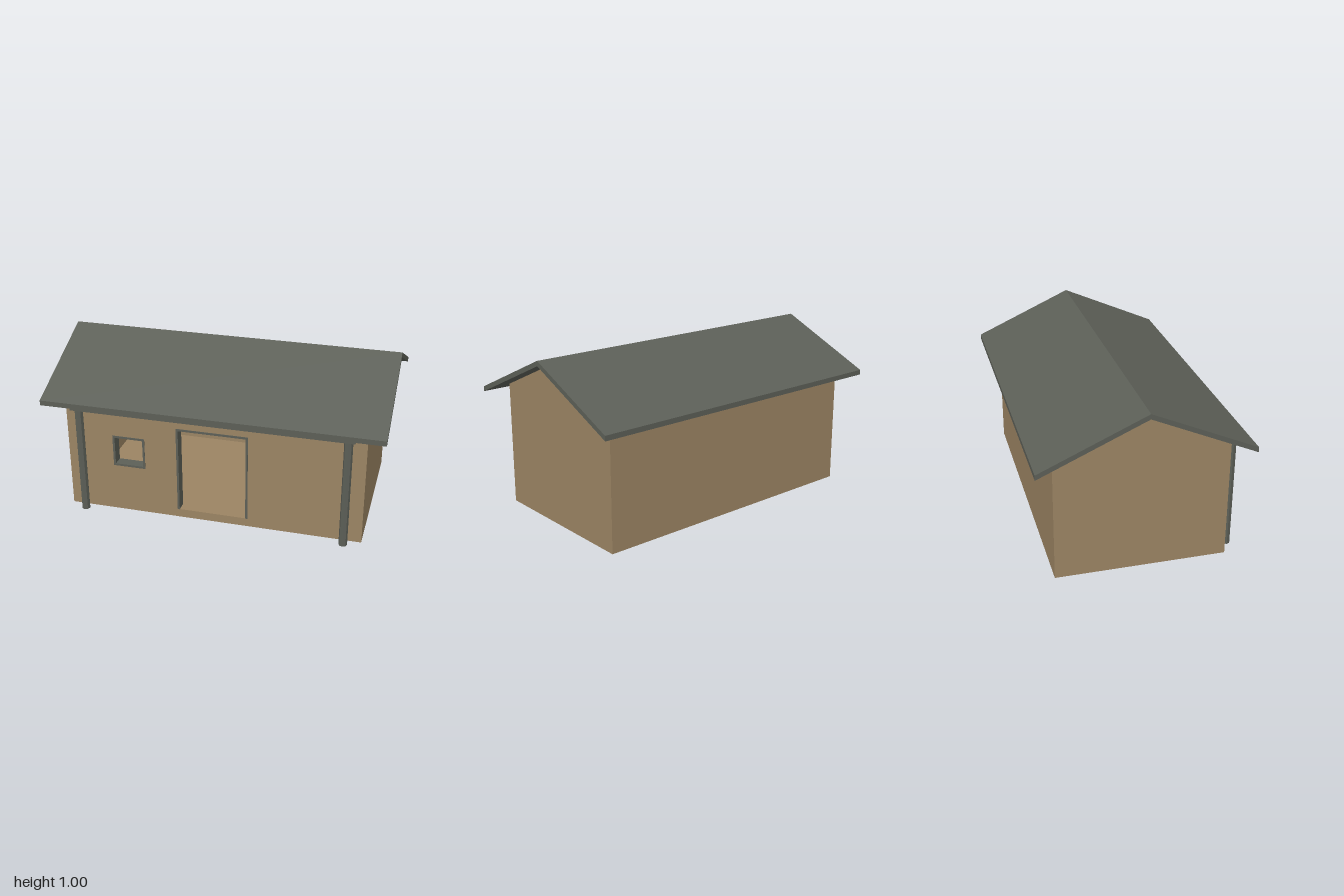
import * as THREE from 'three';

const HALF_X = 0.89, HALF_Z = 0.495, WALL = 0.06, WALL_TOP = 0.685, FLOOR_TOP = 0.052;
const IN_X = HALF_X - WALL, IN_Z = HALF_Z - WALL;
const EAVE_Z = 0.605, EAVE_Y = 0.695, RIDGE_Y = 0.965, ROOF_T = 0.03;

export function createModel() {
  const house = new THREE.Group();
  house.name = 'house';
  const wood = new THREE.MeshStandardMaterial({ color: 0x9b8463 });
  wood.name = 'tan wood';
  const slate = new THREE.MeshStandardMaterial({ color: 0x5c5f57 });
  slate.name = 'dark grey green';

  const add = (name, geometry, material) => {
    const mesh = new THREE.Mesh(geometry, material);
    mesh.name = name;
    house.add(mesh);
    return mesh;
  };
  // Box given by its lower and upper limits on each axis
  const addBox = (name, material, [x0, x1], [y0, y1], [z0, z1]) =>
    add(name, new THREE.BoxGeometry(x1 - x0, y1 - y0, z1 - z0), material)
      .position.set((x0 + x1) / 2, (y0 + y1) / 2, (z0 + z1) / 2);
  // Cross-section in z and y, swept along x from x0 to x1
  const addSection = (name, material, points, x0, x1) => {
    const shape = new THREE.Shape(points.map(([z, y]) => new THREE.Vector2(-z, y)));
    const geometry = new THREE.ExtrudeGeometry(shape, { depth: x1 - x0, bevelEnabled: false });
    add(name, geometry.rotateY(Math.PI / 2), material).position.x = x0;
  };

  // Gable end walls reach up to the roof
  const underRoof = RIDGE_Y - (RIDGE_Y - EAVE_Y) * HALF_Z / EAVE_Z;
  const gable = [[-HALF_Z, 0], [HALF_Z, 0], [HALF_Z, underRoof], [0, RIDGE_Y], [-HALF_Z, underRoof]];
  addSection('leftGableWall', wood, gable, IN_X, HALF_X);
  addSection('rightGableWall', wood, gable, -HALF_X, -IN_X);

  // Long walls stop short of the roof; the front one has openings
  const openings = [
    { name: 'door', x: [-0.215, 0.215], y: [FLOOR_TOP, 0.59], sill: false },
    { name: 'window', x: [-0.608, -0.41], y: [0.298, 0.495], sill: true },
  ];
  const front = new THREE.Shape([[-IN_X, 0], [IN_X, 0], [IN_X, WALL_TOP], [-IN_X, WALL_TOP]]
    .map(([x, y]) => new THREE.Vector2(x, y)));
  for (const { x: [x0, x1], y: [y0, y1] } of openings) {
    front.holes.push(new THREE.Path([[x0, y0], [x0, y1], [x1, y1], [x1, y0]]
      .map(([x, y]) => new THREE.Vector2(x, y))));
  }
  add('frontWall', new THREE.ExtrudeGeometry(front, { depth: WALL, bevelEnabled: false }), wood)
    .position.z = IN_Z;
  addBox('backWall', wood, [-IN_X, IN_X], [0, WALL_TOP], [-HALF_Z, -IN_Z]);
  addBox('floor', wood, [-IN_X, IN_X], [0, FLOOR_TOP], [-IN_Z, IN_Z]);

  // Frames lining the openings
  const t = 0.013, depth = [IN_Z - 0.002, HALF_Z + 0.003];
  for (const { name, x: [x0, x1], y: [y0, y1], sill } of openings) {
    addBox(name + 'FrameRight', slate, [x0, x0 + t], [y0, y1], depth);
    addBox(name + 'FrameLeft', slate, [x1 - t, x1], [y0, y1], depth);
    addBox(name + 'FrameTop', slate, [x0 + t, x1 - t], [y1 - t, y1], depth);
    if (sill) addBox(name + 'Sill', slate, [x0 + t, x1 - t], [y0, y0 + t], depth);
  }

  // Pitched roof
  addSection('roof', slate, [
    [-EAVE_Z, EAVE_Y], [0, RIDGE_Y], [EAVE_Z, EAVE_Y],
    [EAVE_Z, EAVE_Y + ROOF_T], [0, RIDGE_Y + ROOF_T], [-EAVE_Z, EAVE_Y + ROOF_T],
  ], -1, 1);

  // Porch beam on two posts
  addBox('porchBeam', slate, [-0.83, 0.83], [0.67, 0.73], [0.502, 0.577]);
  for (const side of [-1, 1]) {
    const post = new THREE.CylinderGeometry(0.025, 0.025, 0.67, 8).toNonIndexed();
    post.computeVertexNormals();
    add(side > 0 ? 'leftPost' : 'rightPost', post, slate).position.set(side * 0.79, 0.335, 0.54);
  }
  return house;
}
